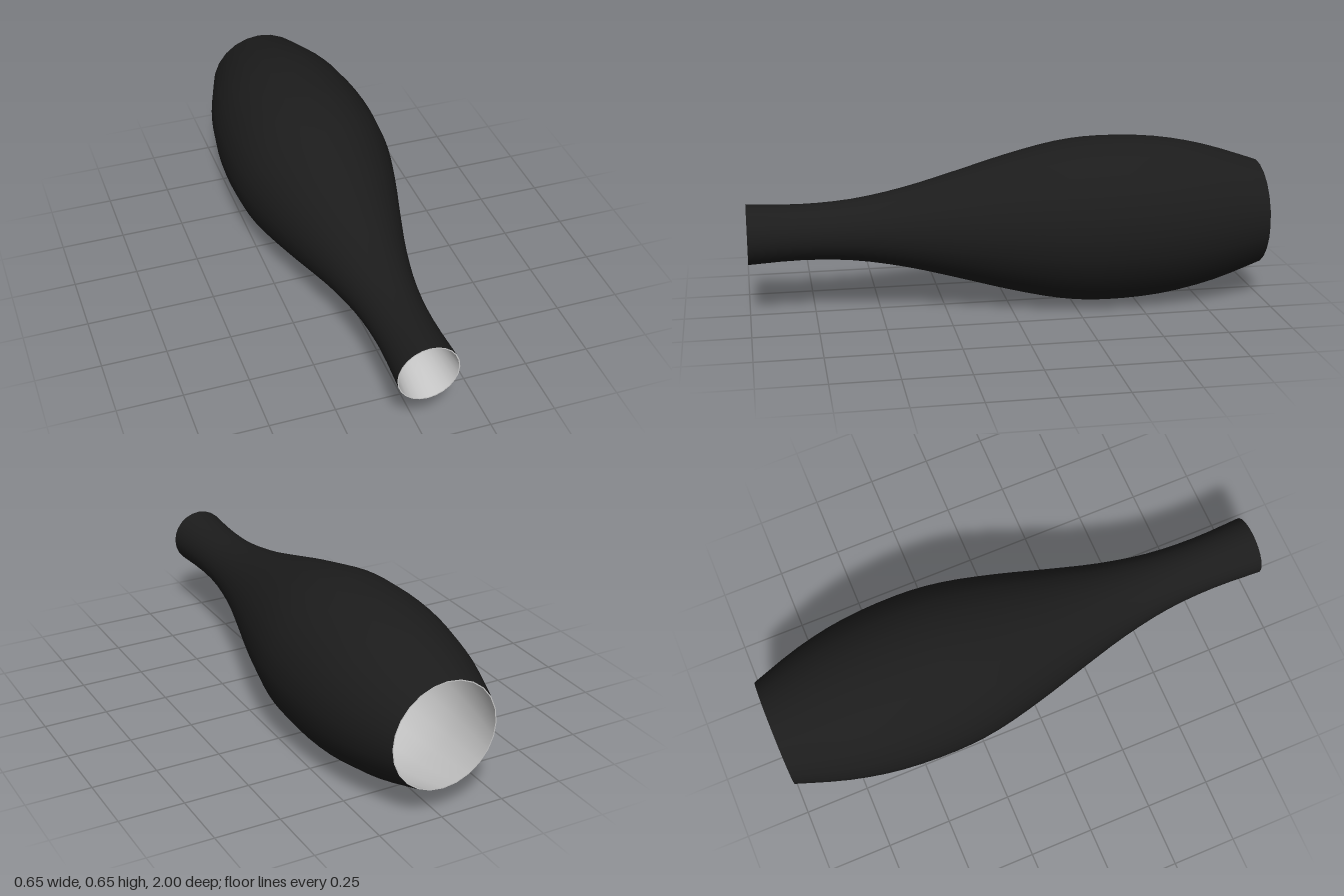
import * as THREE from 'three';

const SIDES = 24;
const AXIS_HEIGHT = 0.324;

// Outer radius along the length: [z, radius], from the wide open end to the neck
const PROFILE = [
  [-1, 0.208], [-0.8, 0.273], [-0.6, 0.312], [-0.38, 0.323], [-0.2, 0.308],
  [0, 0.263], [0.2, 0.207], [0.4, 0.154], [0.6, 0.118], [0.8, 0.107], [1, 0.115],
];

// Revolves a profile of (radius, z) points around the z axis
function revolve(name, points, color) {
  const geometry = new THREE.LatheGeometry(points, SIDES);
  geometry.rotateX(Math.PI / 2);
  const mesh = new THREE.Mesh(geometry, new THREE.MeshStandardMaterial({ color }));
  mesh.name = name;
  mesh.position.y = AXIS_HEIGHT;
  return mesh;
}

export function createModel() {
  const group = new THREE.Group();
  group.name = 'hollowBottleShell';

  const curve = new THREE.SplineCurve(PROFILE.map(([z, r]) => new THREE.Vector2(r, z)));
  const outer = curve.getPoints(30);

  // The wall is thin and tapers towards both open ends
  const inner = outer.map((p) => {
    const wall = 0.004 + 0.01 * Math.min(1, (1 - Math.abs(p.y)) / 0.2);
    return new THREE.Vector2(p.x - wall, p.y);
  }).reverse();

  // Dark outside skin
  group.add(revolve('outerSkin', outer, 0x1c1c1c));

  // Pale lining, facing the axis
  group.add(revolve('innerLining', inner, 0xcccccc));

  // Narrow rims closing the wall at each opening
  const last = outer.length - 1;
  group.add(revolve('neckRim', [outer[last], inner[0]], 0xcccccc));
  group.add(revolve('baseRim', [inner[last], outer[0]], 0xcccccc));

  return group;
}
